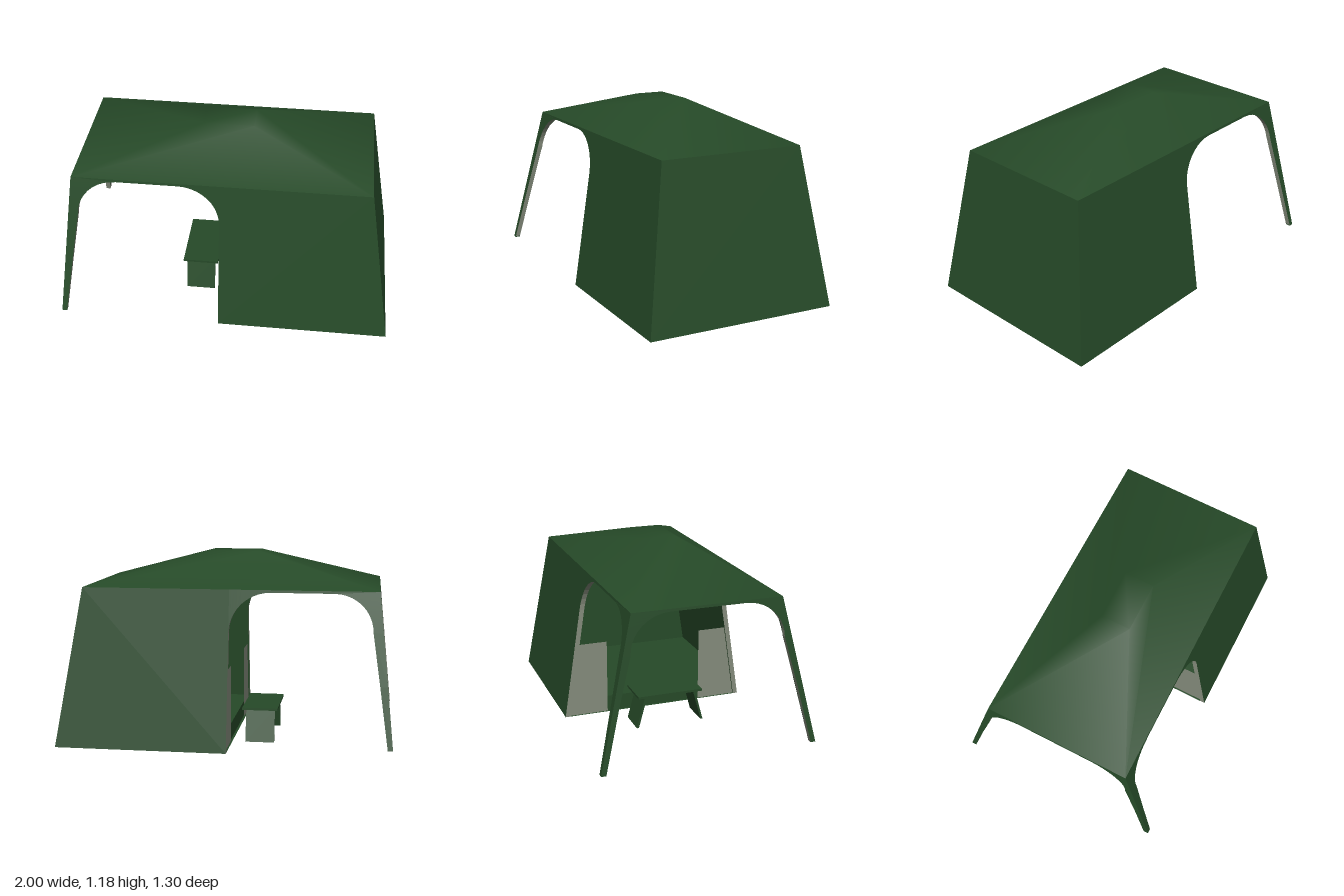
import * as THREE from 'three';

const V = (x, y, z) => new THREE.Vector3(x, y, z);
const EAVE = 0.98, WALL_BOTTOM = 0.03, JAMB = -0.035, THICK = 0.03;

// Flat-shaded surface from four-cornered faces
function quads(faces) {
  const points = [];
  for (const [a, b, c, d] of faces) points.push(a, b, c, a, c, d);
  const g = new THREE.BufferGeometry().setFromPoints(points);
  g.computeVertexNormals();
  return g;
}

// Slopes of the closed walls and of the splayed legs
const wallZ = (y) => 0.445 + 0.153 * (EAVE - y);
const legZ = (y) => 0.445 + 0.233 * (EAVE - y);
const legX = (y) => -0.91 - 0.102 * (EAVE - y);

// Quarter-ellipse from angle a0 to a1
function arc(cx, cy, rx, ry, a0, a1, n = 10) {
  return Array.from({ length: n + 1 }, (_, i) => {
    const a = a0 + ((a1 - a0) * i) / n;
    return [cx + rx * Math.cos(a), cy + ry * Math.sin(a)];
  });
}

export function createModel() {
  const green = new THREE.MeshStandardMaterial({ color: 0x264a28, side: THREE.DoubleSide });
  green.name = 'dark green canvas';
  const grey = new THREE.MeshStandardMaterial({ color: 0x858c7c, side: THREE.DoubleSide });
  grey.name = 'grey lining';

  const model = new THREE.Group();
  model.name = 'tent';
  const add = (name, geometry, material) => {
    const mesh = new THREE.Mesh(geometry, material);
    mesh.name = name;
    model.add(mesh);
    return mesh;
  };

  // Arched panel: pairs of [outer, arch] points, given thickness along an offset
  function archPanel(name, pairs, offset) {
    const cloth = [], edge = [];
    for (let i = 0; i + 1 < pairs.length; i++) {
      const [o0, a0] = pairs[i], [o1, a1] = pairs[i + 1];
      const move = (p) => p.clone().add(offset);
      cloth.push([o0, a0, a1, o1], [move(o0), move(o1), move(a1), move(a0)]);
      edge.push([a0, move(a0), move(a1), a1]);
    }
    const [o, a] = pairs[0];
    cloth.push([o, o.clone().add(offset), a.clone().add(offset), a]);
    add(name, quads(cloth), green);
    add(name + 'Edge', quads(edge), grey);
  }

  // Hipped roof with a small flat top, softly shaded
  const ring = (x0, x1, y, z) => [x0, y, z, x1, y, z, x1, y, -z, x0, y, -z];
  const roof = new THREE.BufferGeometry();
  roof.setAttribute('position', new THREE.Float32BufferAttribute(
    [...ring(-0.91, 0.85, EAVE, 0.445), ...ring(-0.17, 0.13, 1.18, 0.09)], 3));
  const index = [4, 5, 6, 4, 6, 7];
  for (let i = 0; i < 4; i++) {
    const j = (i + 1) % 4;
    index.push(i, j, j + 4, i, j + 4, i + 4);
  }
  roof.setIndex(index);
  roof.computeVertexNormals();
  add('roof', roof, green);

  for (const s of [1, -1]) {
    const side = s > 0 ? 'front' : 'back';

    // Closed part of the long wall with its inner face
    const wall = (inset) => [
      V(JAMB, WALL_BOTTOM, s * (wallZ(WALL_BOTTOM) - inset)), V(1, WALL_BOTTOM, s * (wallZ(WALL_BOTTOM) - inset)),
      V(0.85, EAVE, s * (wallZ(EAVE) - inset)), V(JAMB, EAVE, s * (wallZ(EAVE) - inset))];
    add(side + 'Wall', quads([wall(0)]), green);
    add(side + 'WallInside', quads([wall(THICK).map((p) => V(Math.min(p.x, 0.85), p.y, p.z))]), green);

    // Grey edge of the wall below the arch
    add(side + 'Jamb', quads([[
      V(JAMB, WALL_BOTTOM, s * wallZ(WALL_BOTTOM)), V(JAMB, 0.73, s * wallZ(0.73)),
      V(JAMB, 0.73, s * (wallZ(0.73) - THICK)), V(JAMB, WALL_BOTTOM, s * (wallZ(WALL_BOTTOM) - THICK))]]), grey);

    // Long arch: leg, curve, eave strip, curve down to the wall
    const pairs = [];
    const left = [[-0.97, 0.1], [-0.92, 0.45], ...arc(-0.65, 0.75, 0.225, 0.215, Math.PI, Math.PI / 2)];
    for (const [x, y] of left) pairs.push([V(legX(y), y, s * legZ(y)), V(x, y, s * legZ(y))]);
    pairs.push([V(-0.91, EAVE, s * 0.445), V(-0.65, 0.965, s * legZ(0.965))]);
    for (const [x, y] of [[-0.65, 0.965], ...arc(-0.28, 0.73, 0.245, 0.235, Math.PI / 2, 0)])
      pairs.push([V(x, EAVE, s * 0.445), V(x, y, s * wallZ(y))]);
    archPanel(side + 'Arch', pairs, V(0, 0, -s * THICK));

    // Half of the open end's arch
    const end = [];
    for (const [z, y] of [[0.62, 0.1], [0.535, 0.45], ...arc(0.22, 0.75, 0.235, 0.215, 0, Math.PI / 2)])
      end.push([V(legX(y), y, s * legZ(y)), V(legX(y), y, s * z)]);
    end.push([V(-0.91, EAVE, s * 0.445), V(legX(0.965), 0.965, s * 0.22)]);
    end.push([V(-0.91, EAVE, s * 0.22), V(legX(0.965), 0.965, s * 0.22)]);
    end.push([V(-0.91, EAVE, 0), V(legX(0.965), 0.965, 0)]);
    archPanel(side + 'EndArch', end, V(THICK, 0, 0));

    // Low grey wing beside the room entrance
    add(side + 'Wing', quads([[
      V(-0.025, WALL_BOTTOM, s * 0.58), V(-0.025, 0.5, s * 0.51),
      V(-0.025, 0.5, s * 0.31), V(-0.025, WALL_BOTTOM, s * 0.31)]]), grey);
  }

  // Closed end wall, inner end face, underside, raised floor and its step
  const zb = wallZ(WALL_BOTTOM), zf = 0.56;
  add('endWall', quads([[V(1, WALL_BOTTOM, zb), V(1, WALL_BOTTOM, -zb), V(0.85, EAVE, -0.445), V(0.85, EAVE, 0.445)]]), green);
  add('endWallInside', quads([[V(0.845, 0.13, zf), V(0.845, EAVE, 0.44), V(0.845, EAVE, -0.44), V(0.845, 0.13, -zf)]]), green);
  add('underside', quads([[V(JAMB, WALL_BOTTOM, zb), V(JAMB, WALL_BOTTOM, -zb), V(1, WALL_BOTTOM, -zb), V(1, WALL_BOTTOM, zb)]]), green);
  add('floor', quads([[V(-0.02, 0.13, zf), V(0.85, 0.13, zf), V(0.85, 0.13, -zf), V(-0.02, 0.13, -zf)]]), green);
  add('floorStep', quads([[V(-0.02, WALL_BOTTOM, zf), V(-0.02, 0.13, zf), V(-0.02, 0.13, -zf), V(-0.02, WALL_BOTTOM, -zf)]]), green);

  // Small table on two splayed panel legs
  const top = add('tableTop', new THREE.BoxGeometry(0.22, 0.014, 0.42), green);
  top.position.set(-0.19, 0.208, 0.015);
  for (const s of [1, -1]) {
    const g = new THREE.BoxGeometry(0.18, 0.203, 0.014);
    const p = g.attributes.position;
    for (let i = 0; i < p.count; i++) p.setZ(i, p.getZ(i) - s * p.getY(i) * 0.27);
    g.computeVertexNormals();
    add('tableLeg', g, green).position.set(-0.19, 0.1015, 0.02 + s * 0.186);
  }
  return model;
}
